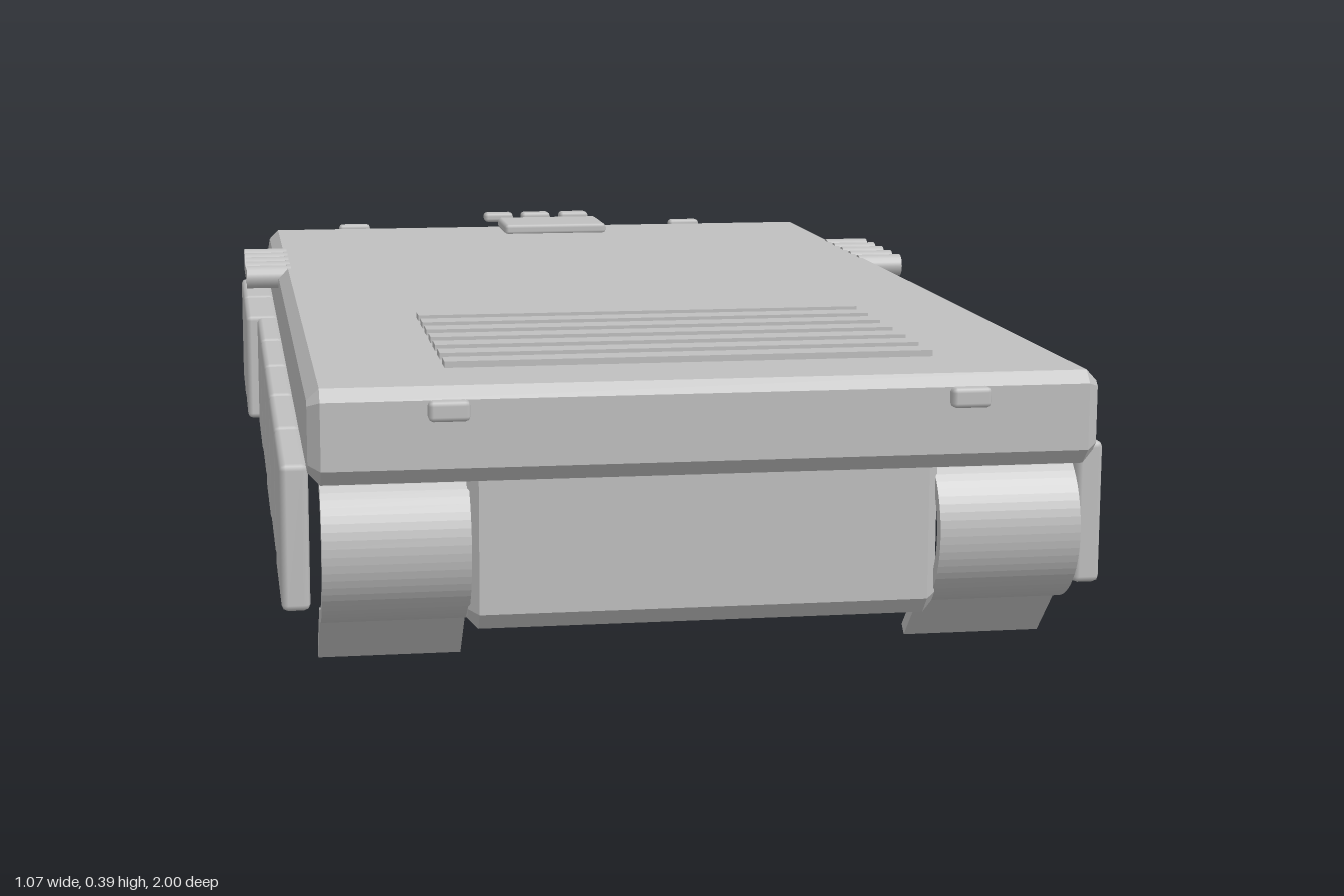
import * as THREE from 'three';
import { RoundedBoxGeometry } from 'three/addons/geometries/RoundedBoxGeometry.js';

export function createModel() {
  const model = new THREE.Group();
  model.name = 'trackedHull';
  const grey = new THREE.MeshStandardMaterial({ color: 0xbfbfbf });
  grey.name = 'plain grey';

  function add(name, geometry, x = 0, y = 0, z = 0) {
    const mesh = new THREE.Mesh(geometry, grey);
    mesh.name = name;
    mesh.position.set(x, y, z);
    model.add(mesh);
    return mesh;
  }

  const block = (w, h, d, r) => new RoundedBoxGeometry(w, h, d, 1, r);

  // Extrudes a side shape (drawn with -z to the right) across x, centred on x = 0
  function across(shape, width, bevel) {
    const geometry = new THREE.ExtrudeGeometry(shape, {
      depth: width - 2 * bevel,
      bevelEnabled: bevel > 0,
      bevelSize: bevel,
      bevelThickness: bevel,
      bevelOffset: -bevel,
      bevelSegments: 1,
      curveSegments: 16,
    });
    geometry.translate(0, 0, bevel - width / 2);
    geometry.rotateY(Math.PI / 2);
    return geometry;
  }
  const sideShape = (points) =>
    new THREE.Shape(points.map(([z, y]) => new THREE.Vector2(-z, y)));

  // Upper hull with a sloping nose
  add('upperHull', across(sideShape([
    [0.985, 0.275], [0.965, 0.255], [-0.9, 0.255], [-0.965, 0.27], [-0.985, 0.29],
    [-0.98, 0.303], [-0.7, 0.373], [0.97, 0.373], [0.985, 0.358],
  ]), 0.97, 0.015));

  // Lower hull between the tracks
  add('lowerHull', across(sideShape([
    [0.95, 0.28], [0.95, 0.085], [0.93, 0.063], [-0.85, 0.063],
    [-0.96, 0.14], [-0.97, 0.28],
  ]), 0.585, 0.013));

  // Curved mudguards, each with a slanted flap
  function mudguardGeometry(radius, thickness) {
    const shape = new THREE.Shape();
    shape.absarc(0, 0, radius, -Math.PI / 2, Math.PI / 2, false);
    shape.absarc(0, 0, radius - thickness, Math.PI / 2, -Math.PI / 2, true);
    return across(shape, 0.18, 0);
  }
  const guard = mudguardGeometry(0.103, 0.016);
  const flap = new THREE.BoxGeometry(0.18, 0.016, 0.095);
  for (const side of [-1, 1]) {
    const x = side * 0.38;
    add('rearMudguard', guard, x, 0.167, 0.865).rotation.y = Math.PI;
    add('frontMudguard', guard, x, 0.167, -0.79);
    add('rearFlap', flap, x, 0.0395, 0.835).rotation.x = -Math.PI / 4;
    add('frontFlap', flap, x, 0.0415, -0.735).rotation.x = Math.PI / 4;
  }

  // Side skirts: seven panels a side, the two at the nose end thicker
  for (const side of [-1, 1]) {
    for (let i = 0; i < 7; i++) {
      const width = i > 4 ? 0.053 : 0.035;
      const bottom = i % 2 ? 0.097 : 0.087;
      const panel = block(width, 0.27 - bottom, 0.237, 0.008);
      add('skirtPanel', panel, side * (0.482 + width / 2), (0.27 + bottom) / 2, 0.792 - i * 0.25);
    }
  }

  // Launcher tubes on both edges of the upper hull
  const tube = new THREE.CylinderGeometry(0.018, 0.018, 0.07, 16);
  tube.rotateZ(Math.PI / 2);
  for (const side of [-1, 1]) {
    for (let i = 0; i < 5; i++) {
      add('launcherTube', tube, side * 0.5, 0.359, -0.163 - i * 0.0565);
    }
  }

  // Engine grille slats
  const slat = new THREE.BoxGeometry(0.62, 0.02, 0.036);
  for (let i = 0; i < 7; i++) add('grilleSlat', slat, 0, 0.371, 0.43 + i * 0.066);

  // Hatch and its periscopes
  add('hatch', block(0.18, 0.018, 0.128, 0.006), 0.018, 0.38, -0.645);
  for (const x of [-0.068, 0, 0.07]) {
    add('periscope', block(0.052, 0.016, 0.032, 0.006), x, 0.387, -0.735);
  }

  // Lamps at both ends and tow pins under the nose
  const pin = new THREE.CylinderGeometry(0.017, 0.017, 0.045, 16);
  pin.rotateX(Math.PI / 2);
  for (const x of [-0.318, 0.318]) {
    add('rearLamp', block(0.05, 0.025, 0.03, 0.006), x, 0.346, 0.985);
    add('noseLamp', block(0.058, 0.027, 0.024, 0.006), x, 0.338, -0.967);
    add('towPin', pin, x, 0.183, -0.9775);
  }

  return model;
}
